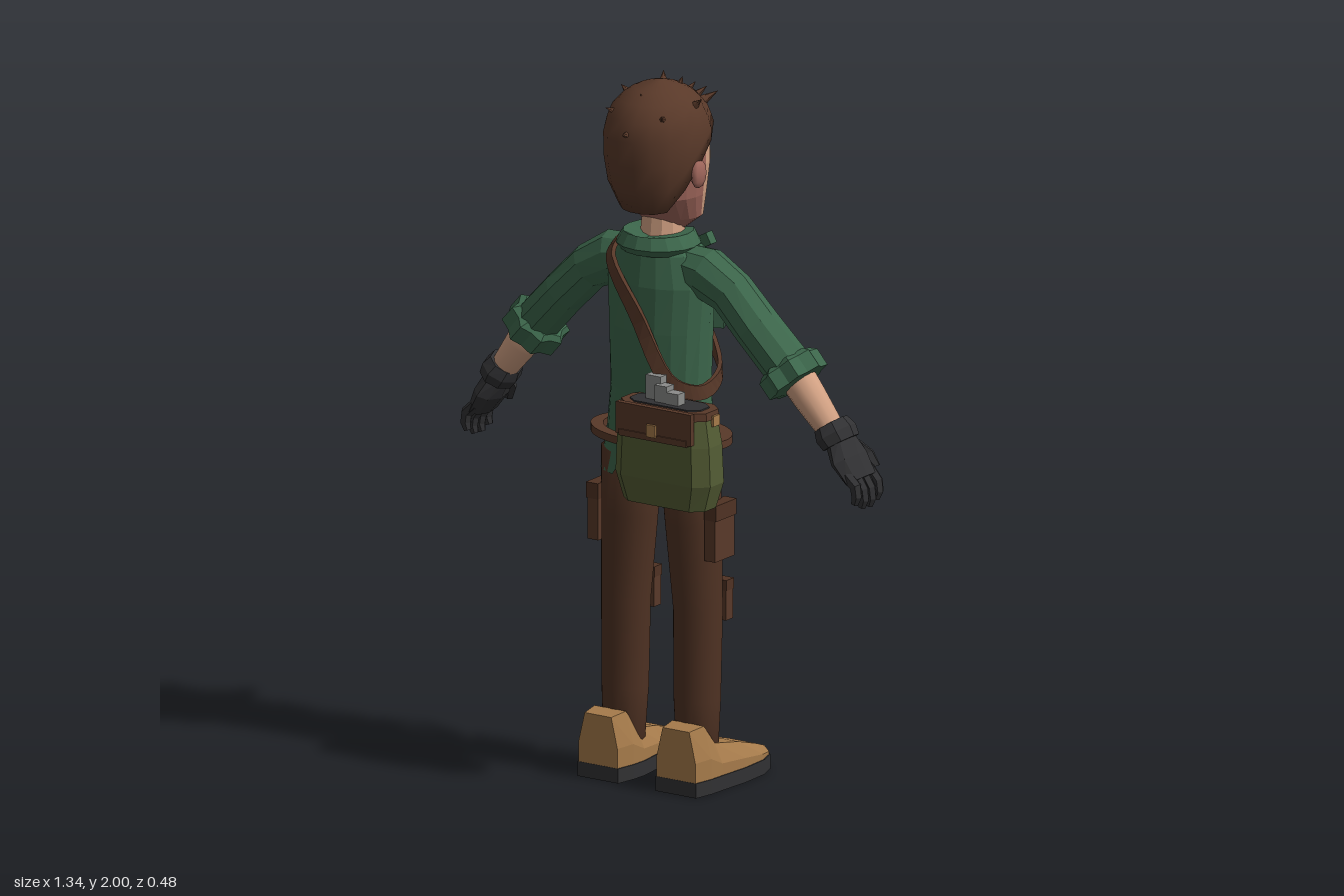
import * as THREE from 'three';

const mat = (name, color) => { const m = new THREE.MeshStandardMaterial({ color }); m.name = name; return m; };
const M = {
  leather: mat('hair and leather brown', 0x593929), trousers: mat('trouser brown', 0x4f3223),
  green: mat('jacket green', 0x3c664b), tan: mat('boot tan', 0xa67b4b), black: mat('black', 0x313133),
  skin: mat('skin', 0xd3a284), rosy: mat('rosy skin', 0xa0675c), cream: mat('shirt cream', 0xcabd9e),
  olive: mat('bag olive', 0x535c34), grey: mat('grey', 0x8b8c8a),
};
M.green.side = M.cream.side = THREE.DoubleSide;
const V = (x, y, z) => new THREE.Vector3(x, y, z);
const rad = THREE.MathUtils.degToRad;

// Joins rings of points into a surface; closed rings are capped at both ends
function skin(rings, { open = false, smooth = false, loop = false } = {}) {
  const n = rings[0].length, rows = rings.length, pos = [], idx = [];
  rings.flat().forEach(p => pos.push(p.x, p.y, p.z));
  for (let i = 0; i < (loop ? rows : rows - 1); i++) {
    for (let j = 0; j < (open ? n - 1 : n); j++) {
      const a = i * n + j, b = i * n + (j + 1) % n, k = (i + 1) % rows;
      const c = k * n + j, d = k * n + (j + 1) % n;
      idx.push(a, c, b, b, c, d);
    }
  }
  if (!open && !loop) [0, rows - 1].forEach((r, top) => {
    const c = rings[r].reduce((s, p) => s.add(p), V(0, 0, 0)).divideScalar(n);
    const ci = pos.length / 3;
    pos.push(c.x, c.y, c.z);
    for (let j = 0; j < n; j++) {
      const a = r * n + j, b = r * n + (j + 1) % n;
      if (top) idx.push(ci, b, a); else idx.push(ci, a, b);
    }
  });
  let g = new THREE.BufferGeometry();
  g.setAttribute('position', new THREE.Float32BufferAttribute(pos, 3));
  g.setIndex(idx);
  if (!smooth) g = g.toNonIndexed();
  g.computeVertexNormals();
  return g;
}

// Elliptical rings [x, y, z, r1, rz, startDeg, endDeg] facing along the path in x and y
function ringsOf(secs, n, wave = 0) {
  return secs.map((s, i) => {
    const p = secs[Math.max(i - 1, 0)], q = secs[Math.min(i + 1, secs.length - 1)];
    const a = Math.atan2(p[0] - q[0], q[1] - p[1]);
    const arc = s.length > 5, t0 = arc ? rad(s[5]) : 0, t1 = arc ? rad(s[6]) : Math.PI * 2;
    return Array.from({ length: arc ? n + 1 : n }, (_, j) => {
      const t = t0 + (t1 - t0) * j / n, k = 1 - (j % 2) * wave, u = Math.cos(t) * s[3] * k;
      return V(s[0] + u * Math.cos(a), s[1] + u * Math.sin(a), s[2] + Math.sin(t) * s[4] * k);
    });
  });
}

export function createModel() {
  const root = new THREE.Group();
  root.name = 'adventurer';
  const add = (name, geo, m, x = 0, y = 0, z = 0, rz = 0) => {
    const o = new THREE.Mesh(geo, m);
    o.name = name; o.position.set(x, y, z); o.rotation.z = rz;
    root.add(o);
    return o;
  };
  const box = (name, m, w, h, d, x, y, z, rz) => add(name, new THREE.BoxGeometry(w, h, d), m, x, y, z, rz);
  const loft = (name, m, secs, n = 12, opt = {}) => add(name, skin(ringsOf(secs, n, opt.wave), opt), m);

  // Legs, boots, pouches
  loft('hips', M.trousers, [[0, 0.86, 0.01, 0.13, 0.07], [0, 0.92, 0.01, 0.175, 0.085], [0, 1.0, 0.01, 0.15, 0.085]]);
  for (const s of [1, -1]) {
    const side = s > 0 ? 'left' : 'right';
    loft(side + 'Leg', M.trousers, [[0.122, 0.09, 0.015, 0.06, 0.055], [0.12, 0.25, 0.012, 0.068, 0.062],
      [0.12, 0.5, 0.008, 0.071, 0.066], [0.106, 0.75, 0.01, 0.082, 0.075], [0.097, 0.93, 0.012, 0.09, 0.078]]
      .map(p => [p[0] * s, ...p.slice(1)]), 16, { smooth: true });
    const foot = [[0.13, 0.13, 0.065, 0.185], [0.07, 0.13, 0.077, 0.19], [0.02, 0.13, 0.08, 0.13],
      [-0.08, 0.14, 0.078, 0.112], [-0.17, 0.147, 0.068, 0.085], [-0.225, 0.147, 0.05, 0.065], [-0.24, 0.147, 0.035, 0.055]];
    add(side + 'Boot', skin(foot.map(([z, x, w, h]) => [[1, 0.04], [1, 0.04 + (h - 0.04) * 0.4], [0.68, h],
      [-0.68, h], [-1, 0.04 + (h - 0.04) * 0.4], [-1, 0.04]].map(([k, y]) => V(x * s + k * w, y, z)))), M.tan);
    add(side + 'Sole', skin(foot.map(([z, x, w]) => [[1, 0], [1, 0.042], [-1, 0.042], [-1, 0]]
      .map(([k, y]) => V(x * s + k * (w + 0.003), y, z * 1.008)))), M.black);
    box(side + 'HipPouch', M.leather, 0.035, 0.16, 0.095, s * 0.195, 0.74, 0.012);
    box(side + 'HipPouchFlap', M.trousers, 0.04, 0.045, 0.1, s * 0.197, 0.8, 0.012);
    box(side + 'KneePouch', M.leather, 0.1, 0.11, 0.035, s * 0.12, 0.515, -0.072);
    box(side + 'KneePouchFlap', M.trousers, 0.104, 0.03, 0.038, s * 0.12, 0.56, -0.073);
  }

  // Shirt and open jacket
  loft('shirt', M.cream, [[0, 0.94, 0.01, 0.155, 0.088], [0, 1.12, 0.01, 0.14, 0.095], [0, 1.3, 0.01, 0.145, 0.103],
    [0, 1.43, 0.01, 0.15, 0.1], [0, 1.52, 0.015, 0.115, 0.085], [0, 1.555, 0.02, 0.08, 0.07]], 20);
  const coat = [[0.87, 0.19, 0.1, 44], [0.99, 0.168, 0.098, 34], [1.12, 0.153, 0.106, 38], [1.3, 0.157, 0.113, 32],
    [1.43, 0.163, 0.11, 28], [1.52, 0.135, 0.097, 30], [1.56, 0.085, 0.078, 32]];
  const coatRings = ringsOf(coat.map(([y, rx, rz, gap]) => [0, y, 0.012, rx, rz, gap - 90, 270 - gap]), 16);
  coatRings[0].forEach(p => { if (Math.abs(p.x) < 0.1) p.y += 0.07; });
  add('jacket', skin(coatRings, { open: true }), M.green);
  loft('collar', M.green, [[0, 1.52, 0.025, 0.105, 0.1, -55, 235], [0, 1.54, 0.025, 0.12, 0.115, -50, 230],
    [0, 1.575, 0.025, 0.098, 0.1, -45, 225], [0, 1.55, 0.025, 0.08, 0.08, -45, 225]], 12, { open: true });
  for (const s of [1, -1]) {
    box('chestPocket', M.green, 0.07, 0.07, 0.025, s * 0.105, 1.32, -0.083).rotation.y = s * 0.4;
    box('chestPocketFlap', M.green, 0.078, 0.028, 0.034, s * 0.105, 1.36, -0.085).rotation.y = s * 0.4;
    box('collarTip', M.green, 0.06, 0.035, 0.03, s * 0.085, 1.53, -0.07, s * 0.5);
  }

  // Arms and gloved hands
  for (const s of [1, -1]) {
    const side = s > 0 ? 'left' : 'right';
    const arm = (name, m, secs, n, opt) => loft(side + name, m, secs.map(p => [p[0] * s, ...p.slice(1)]), n, opt);
    arm('Sleeve', M.green, [[0.07, 1.485, 0.015, 0.06, 0.06], [0.15, 1.47, 0.012, 0.075, 0.068],
      [0.235, 1.425, 0.01, 0.066, 0.064], [0.32, 1.34, 0.01, 0.065, 0.07], [0.42, 1.235, 0, 0.066, 0.073]], 10);
    arm('SleeveCuff', M.green, [[0.403, 1.25, -0.005, 0.075, 0.08], [0.412, 1.24, -0.005, 0.09, 0.1],
      [0.447, 1.2, -0.005, 0.09, 0.1], [0.45, 1.197, -0.005, 0.06, 0.065]], 16, { wave: 0.16 });
    arm('Forearm', M.skin, [[0.42, 1.235, -0.008, 0.053, 0.052], [0.48, 1.16, -0.012, 0.048, 0.047],
      [0.555, 1.065, -0.02, 0.037, 0.038]], 12, { smooth: true });
    arm('GloveCuff', M.black, [[0.54, 1.092, -0.025, 0.048, 0.055], [0.557, 1.068, -0.026, 0.055, 0.068],
      [0.573, 1.043, -0.028, 0.05, 0.062]], 8);
    arm('Palm', M.black, [[0.565, 1.055, -0.03, 0.036, 0.05], [0.595, 1.0, -0.033, 0.036, 0.075],
      [0.63, 0.945, -0.04, 0.026, 0.068]], 8);
    for (let i = 0; i < 4; i++) {
      const z = 0.012 - i * 0.035, d = [0.02, 0.003, 0, 0.012][i];
      arm('Finger', M.black, [[0.618, 0.965, z, 0.018, 0.018], [0.648, 0.918 + d, z, 0.018, 0.017],
        [0.652, 0.89 + d, z, 0.016, 0.016], [0.645, 0.868 + d, z, 0.011, 0.011]], 6);
    }
    arm('Thumb', M.black, [[0.58, 1.035, -0.075, 0.02, 0.022], [0.594, 0.995, -0.12, 0.021, 0.022],
      [0.612, 0.955, -0.135, 0.016, 0.016]], 6);
  }

  // Head: face in front, rosy sides and back
  loft('neck', M.skin, [[0, 1.5, 0.01, 0.065, 0.06], [0, 1.62, 0, 0.06, 0.058]]);
  const head = [[1.572, -0.02, 0.05, 0.04], [1.61, -0.03, 0.096, 0.085], [1.68, 0, 0.118, 0.122],
    [1.77, 0.005, 0.131, 0.135], [1.86, 0.01, 0.132, 0.135], [1.94, 0.02, 0.09, 0.1]];
  const half = (a, b) => head.map(([y, z, rx, rz]) => [0, y, z, rx, rz, a, b]);
  loft('face', M.skin, half(190, 350), 10, { open: true });
  loft('headBack', M.rosy, half(-10, 190), 12, { open: true });
  loft('chin', M.rosy, [[0, 1.571, -0.02, 0.04, 0.03], [0, 1.576, -0.02, 0.05, 0.04]]);
  add('nose', skin([[1.695, 0.023, 0.045], [1.715, 0.024, 0.05], [1.8, 0.012, 0.016]].map(([y, w, d]) =>
    [V(w, y, -0.11), V(-w, y, -0.11), V(0, y, -0.12 - d)].reverse())), M.skin);
  for (const s of [1, -1]) {
    const ear = add('ear', new THREE.SphereGeometry(1, 8, 6), M.rosy, s * 0.137, 1.755, 0.03);
    ear.scale.set(0.016, 0.042, 0.032);
  }

  // Hair cap with a high brow, low nape and small spikes
  const hairR = y => {
    const P = [[1.64, 0.1], [1.72, 0.134], [1.8, 0.146], [1.88, 0.146], [1.93, 0.127], [1.97, 0.09], [1.99, 0.05], [2, 0.012]];
    const i = Math.max(1, P.findIndex(p => p[0] >= y - 1e-6)), [a, b] = [P[i - 1], P[i]];
    return THREE.MathUtils.lerp(a[1], b[1], (y - a[0]) / (b[0] - a[0]));
  };
  const rim = t => {
    const f = Math.sin(t);
    return f > 0 ? 1.79 - 0.145 * Math.min(1, f * 1.5) : 1.79 + 0.115 * Math.min(1, -f * 1.15);
  };
  add('hair', skin([0, 0.2, 0.4, 0.6, 0.75, 0.87, 0.95, 1].map(k => Array.from({ length: 18 }, (_, j) => {
    const t = j / 18 * Math.PI * 2, y = THREE.MathUtils.lerp(rim(t), 2, k), r = hairR(y);
    return V(r * Math.cos(t), y, 0.025 + r * 1.13 * Math.sin(t));
  })), { smooth: true }), M.leather);
  const spike = (x, y, z, dx, dy, dz, r, h) => {
    const o = add('hairSpike', new THREE.ConeGeometry(r, h, 6), M.leather, x, y, z);
    o.quaternion.setFromUnitVectors(V(0, 1, 0), V(dx, dy, dz).normalize());
  };
  for (let i = -2; i <= 2; i++) spike(i * 0.042, 1.935, -0.112 + Math.abs(i) * 0.017, i * 0.2, 0.4, -1, 0.026, 0.095);
  for (const [x, y, z] of [[-0.035, 1.985, -0.05], [0.035, 1.985, -0.03], [-0.12, 1.95, 0.01], [0.12, 1.95, 0.01], [0, 1.965, 0.1],
    [-0.085, 1.925, 0.13], [0.085, 1.925, 0.13], [0, 1.88, 0.185]]) spike(x, y, z, x, y - 1.85, z, 0.015, 0.04);

  // Belt: a flat ring standing off the hips
  const hoop = (rx, rz) => new THREE.Path().absellipse(0, 0, rx, rz, 0, Math.PI * 2);
  const ring = new THREE.Shape(hoop(0.215, 0.145).getPoints(24));
  ring.holes.push(hoop(0.18, 0.112).setFromPoints(hoop(0.18, 0.112).getPoints(24)));
  const belt = add('belt', new THREE.ExtrudeGeometry(ring, { depth: 0.022, bevelEnabled: false }), M.leather, 0, 1.0, 0.01);
  belt.rotation.x = Math.PI / 2;
  box('beltBuckle', M.tan, 0.04, 0.03, 0.012, 0, 0.99, -0.137);

  // Shoulder strap looping round the body
  const path = new THREE.CatmullRomCurve3([V(-0.11, 1.535, 0.06), V(-0.1, 1.5, 0.112), V(0, 1.345, 0.128), V(0.11, 1.175, 0.13),
    V(0.165, 1.14, 0.06), V(0.16, 1.17, -0.04), V(0.1, 1.23, -0.097), V(0, 1.36, -0.113), V(-0.09, 1.5, -0.092), V(-0.11, 1.55, -0.02)], true);
  add('shoulderStrap', skin(Array.from({ length: 48 }, (_, i) => {
    const p = path.getPoint(i / 48), T = path.getTangent(i / 48);
    const n = V(p.x, Math.max(0, p.y - 1.5) * 3, p.z * 1.6);
    n.addScaledVector(T, -n.dot(T)).normalize();
    const b = n.clone().cross(T);
    return [[-1, 1], [1, 1], [1, -1], [-1, -1]].map(([u, v]) => p.clone().addScaledVector(b, u * 0.021).addScaledVector(n, v * 0.006));
  }), { loop: true }), M.leather);
  box('strapBuckle', M.tan, 0.05, 0.04, 0.016, 0.04, 1.31, -0.113, -0.95);

  // Satchel
  const bag = (name, m, secs) => add(name, skin(secs.map(([y, w, d]) =>
    [[1, -0.5], [1, 0.5], [0.75, 1], [-0.75, 1], [-1, 0.5], [-1, -0.5], [-0.75, -1], [0.75, -1]]
      .map(([a, c]) => V(0.13 + a * w, y, 0.16 + c * d)))), m);
  bag('satchel', M.olive, [[0.845, 0.135, 0.055], [0.92, 0.158, 0.066], [1.03, 0.153, 0.064], [1.115, 0.138, 0.056]]);
  bag('satchelRim', M.leather, [[1.105, 0.144, 0.061], [1.128, 0.142, 0.06]]);
  bag('satchelOpening', M.black, [[1.126, 0.118, 0.044], [1.132, 0.118, 0.044]]);
  box('satchelFlap', M.leather, 0.25, 0.09, 0.018, 0.125, 1.085, 0.225);
  box('satchelFlapEdge', M.leather, 0.225, 0.018, 0.024, 0.125, 1.045, 0.226);
  box('satchelClasp', M.tan, 0.03, 0.035, 0.012, 0.122, 1.065, 0.236);
  box('sideClasp', M.tan, 0.016, 0.03, 0.03, 0.272, 1.1, 0.15);
  box('sideClasp', M.tan, 0.016, 0.03, 0.03, -0.012, 1.1, 0.15);
  for (const [x, z, w, h] of [[0.08, 0.15, 0.05, 0.08], [0.115, 0.165, 0.04, 0.06], [0.155, 0.168, 0.04, 0.045]])
    box('tool', M.grey, w, h, 0.035, x, 1.12 + h / 2, z);
  return root;
}
